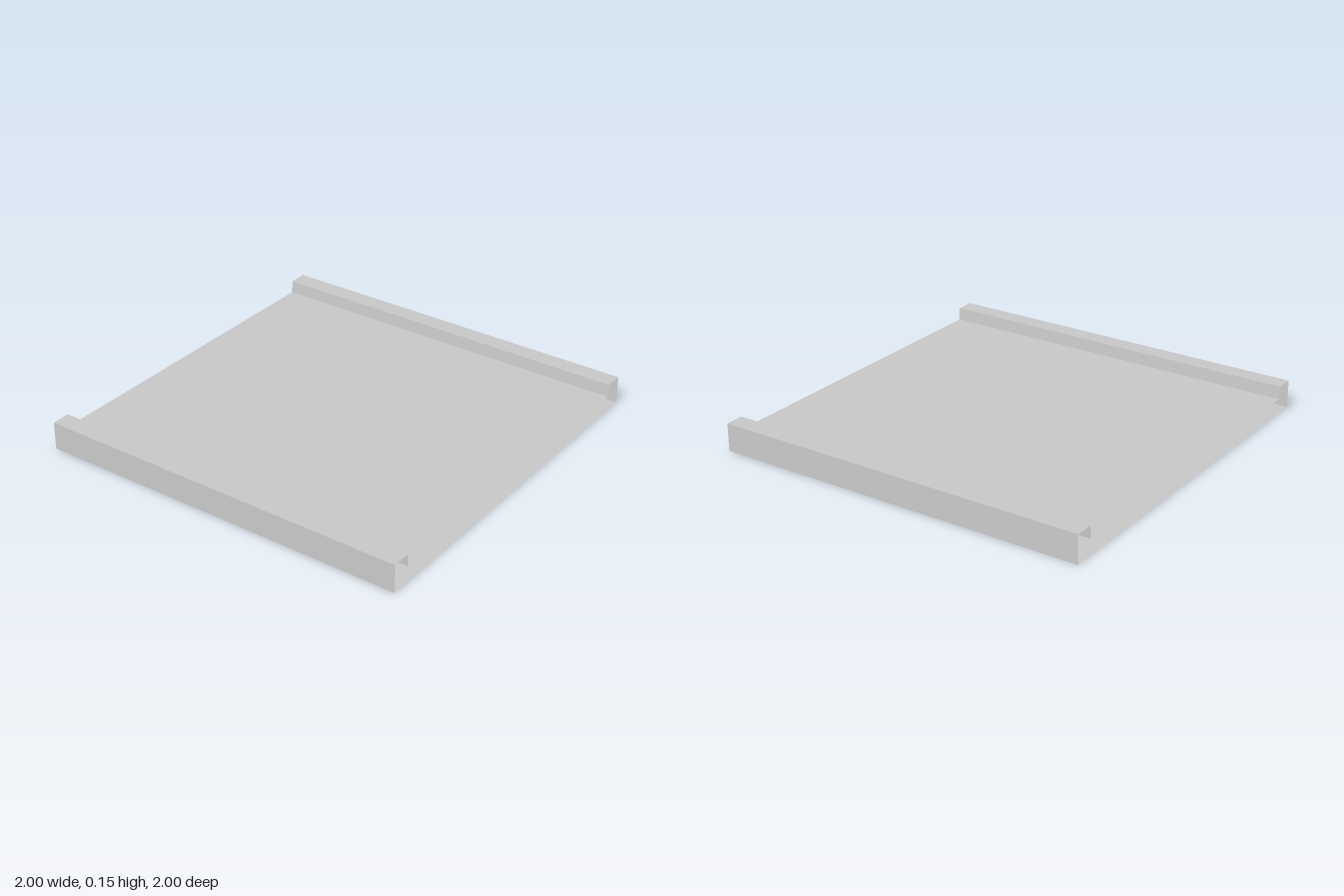
import * as THREE from 'three';

const material = new THREE.MeshStandardMaterial({ color: 0xcccccc, flatShading: true, side: THREE.DoubleSide });
const H = 0.147;      // rail height
const DECK = 0.08;    // deck height
const TOP_X = 0.902;  // inner wall, upper edge
const FOOT_X = 0.898; // inner wall, lower edge

// Flat strip running front to back between two profile points [x, y]
function strip(name, [x0, y0], [x1, y1]) {
  const g = new THREE.PlaneGeometry(Math.hypot(x1 - x0, y1 - y0), 2);
  g.rotateX(-Math.PI / 2);
  g.rotateZ(Math.atan2(y1 - y0, x1 - x0));
  g.translate((x0 + x1) / 2, (y0 + y1) / 2, 0);
  const mesh = new THREE.Mesh(g, material);
  mesh.name = name;
  return mesh;
}

export function createModel() {
  const group = new THREE.Group();
  group.name = 'railedPlatform';

  // Hollow profile, open at the front and back ends; points run clockwise
  group.add(
    strip('bottomPlate', [1, 0], [-1, 0]),
    strip('rightOuterWall', [-1, 0], [-1, H]),
    strip('rightRailTop', [-1, H], [-TOP_X, H]),
    strip('rightInnerWall', [-TOP_X, H], [-FOOT_X, DECK]),
    strip('deck', [-FOOT_X, DECK], [FOOT_X, DECK]),
    strip('leftInnerWall', [FOOT_X, DECK], [TOP_X, H]),
    strip('leftRailTop', [TOP_X, H], [1, H]),
    strip('leftOuterWall', [1, H], [1, 0]),
  );
  return group;
}
